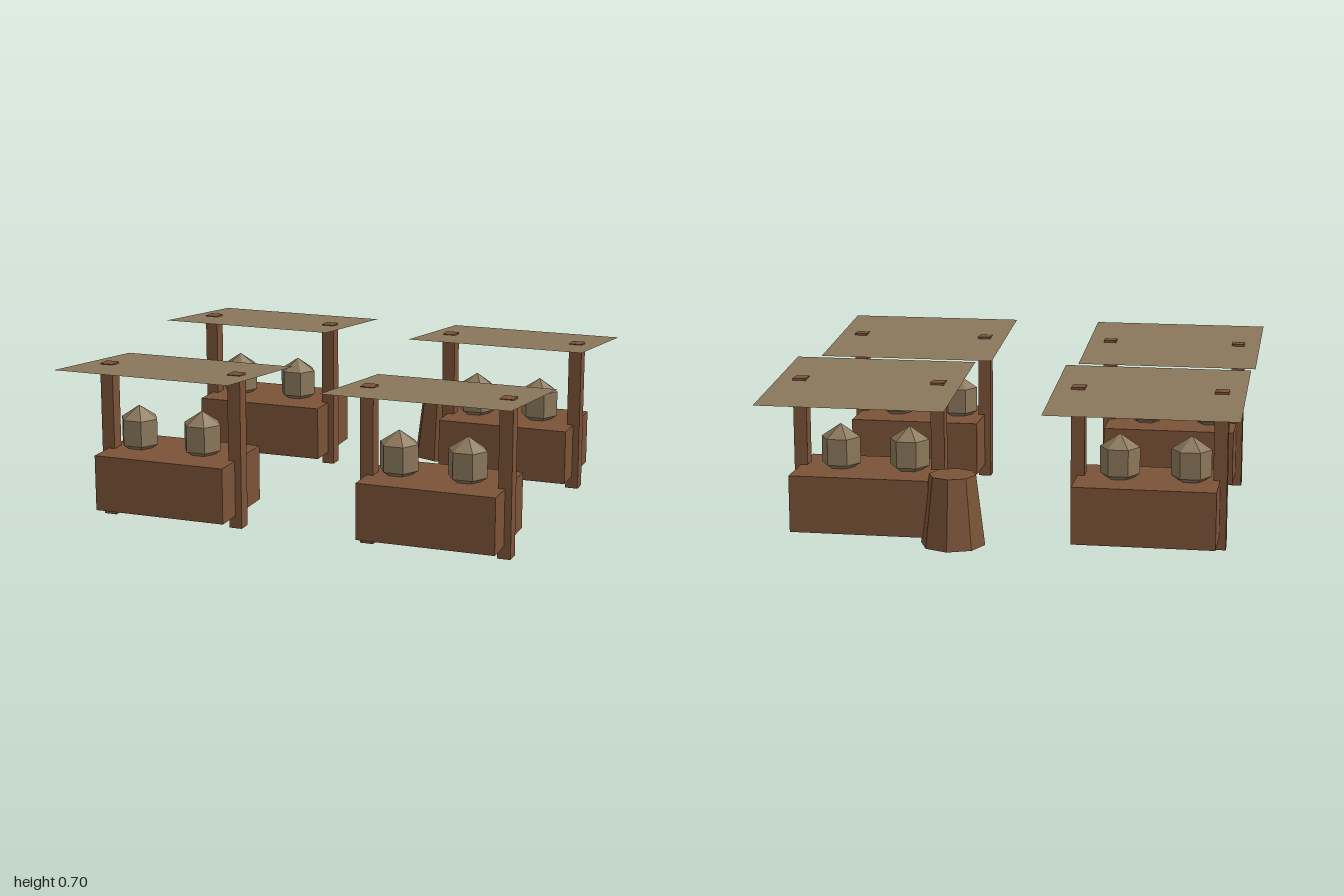
import * as THREE from 'three';

const paint = (name, color) => {
  const m = new THREE.MeshStandardMaterial({ color, side: THREE.DoubleSide, flatShading: true });
  m.name = name;
  return m;
};

// Box standing on y = 0 with its underside left open
function openBox(w, h, d) {
  const g = new THREE.BoxGeometry(w, h, d).translate(0, h / 2, 0);
  const index = Array.from(g.index.array);
  index.splice(18, 6); // the -y face
  g.setIndex(index);
  g.clearGroups();
  return g;
}

export function createModel() {
  const model = new THREE.Group();
  model.name = 'marketStalls';
  const wood = paint('wood', 0x7a5237);
  const straw = paint('straw', 0x8a775b);

  const add = (parent, name, geometry, material, x, y, z) => {
    const mesh = new THREE.Mesh(geometry, material);
    mesh.name = name;
    mesh.position.set(x, y, z);
    parent.add(mesh);
    return mesh;
  };

  const counterGeo = openBox(0.6, 0.245, 0.4);
  const postGeo = openBox(0.058, 0.677, 0.064);
  const jarGeo = new THREE.SphereGeometry(0.098, 6, 3).scale(1, 1.16, 1);
  const depth = 0.7, rise = 0.072;
  const roofGeo = new THREE.PlaneGeometry(0.8, Math.hypot(depth, rise))
    .rotateX(-Math.PI / 2 - Math.atan2(rise, depth));

  // Four identical stalls
  for (const x of [-0.6, 0.6]) {
    for (const z of [-0.55, 0.55]) {
      const stall = new THREE.Group();
      stall.name = 'stall';
      stall.position.set(x, 0, z);
      add(stall, 'counter', counterGeo, wood, 0, 0.055, 0);
      for (const px of [-0.3, 0.3]) add(stall, 'post', postGeo, wood, px, 0, 0.036);
      for (const jx of [-0.18, 0.12]) add(stall, 'jar', jarGeo, straw, jx, 0.376, 0);
      // Thin awning, higher at the front
      add(stall, 'awning', roofGeo, straw, 0, 0.667, 0);
      model.add(stall);
    }
  }

  // Tapered eight-sided tub with an open underside
  const tub = new THREE.Group();
  tub.name = 'tub';
  tub.position.set(0.2, 0, -0.728);
  add(tub, 'tubSide', new THREE.CylinderGeometry(0.1, 0.137, 0.3, 8, 1, true), wood, 0, 0.18, 0);
  add(tub, 'tubTop', new THREE.CircleGeometry(0.1, 8).rotateX(-Math.PI / 2), wood, 0, 0.33, 0);
  model.add(tub);

  return model;
}
